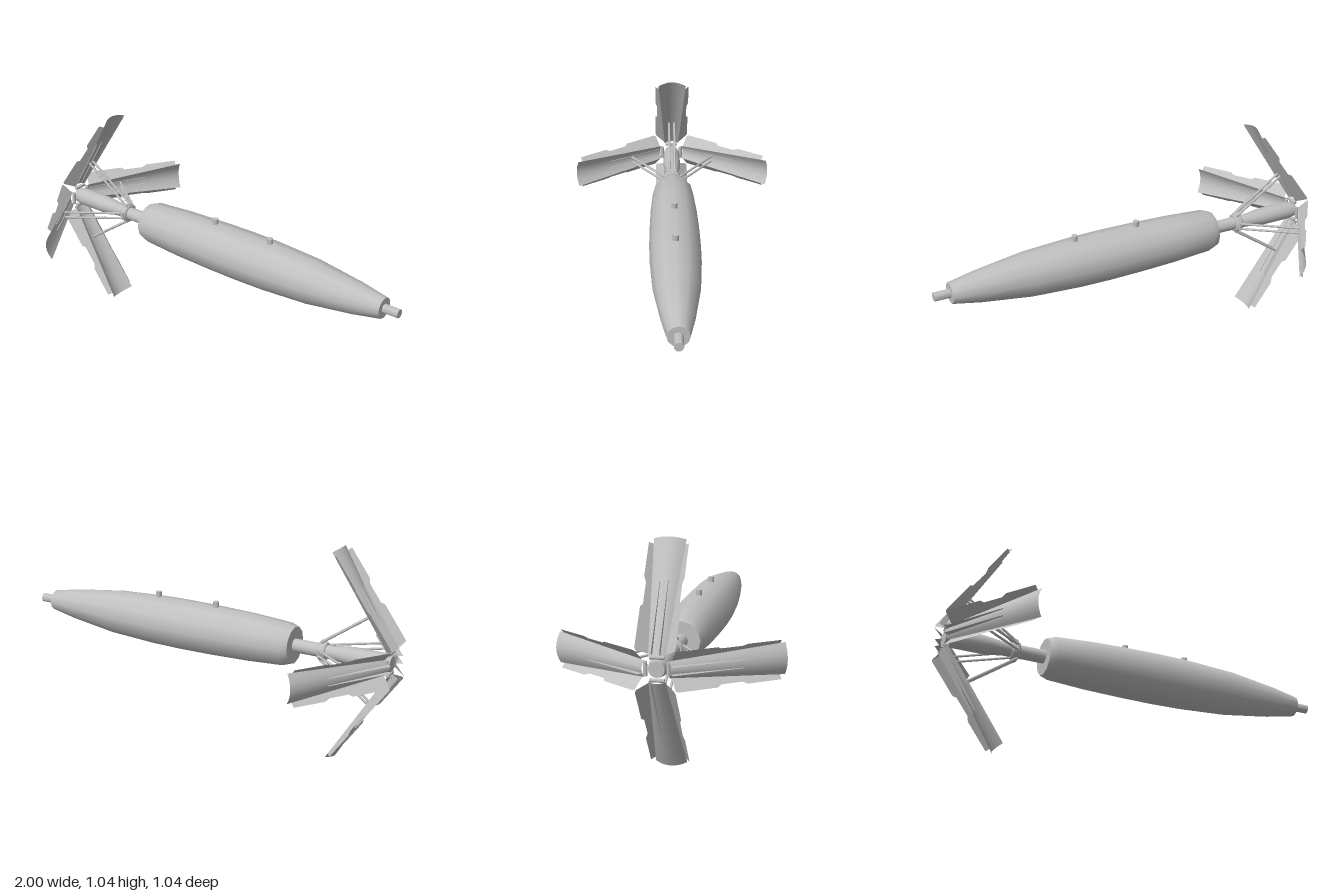
import * as THREE from 'three';
import { toCreasedNormals } from 'three/addons/utils/BufferGeometryUtils.js';

const AXIS_Y = 0.527;
const LENGTH = 0.53; // petal length

export function createModel() {
  const model = new THREE.Group();
  model.name = 'finnedCasing';
  const grey = new THREE.MeshStandardMaterial({ color: 0xc0c0c0, side: THREE.DoubleSide });
  grey.name = 'grey metal';

  const add = (parent, name, geometry) => {
    const mesh = new THREE.Mesh(geometry, grey);
    mesh.name = name;
    parent.add(mesh);
    return mesh;
  };

  // Solid of revolution about the long axis, from [x, radius] pairs
  const turned = (profile, sides) => {
    const points = profile.map(([x, r]) => new THREE.Vector2(r, x));
    const geometry = new THREE.LatheGeometry(points, sides);
    geometry.rotateZ(-Math.PI / 2);
    return toCreasedNormals(geometry, 0.6);
  };

  // Cylinder between two points
  const rod = (parent, name, a, b, radius, sides = 8) => {
    const span = b.clone().sub(a);
    const mesh = add(parent, name, new THREE.CylinderGeometry(radius, radius, span.length(), sides));
    mesh.position.copy(a).addScaledVector(span, 0.5);
    mesh.quaternion.setFromUnitVectors(new THREE.Vector3(0, 1, 0), span.normalize());
    return mesh;
  };

  // Open sheet spanning rows of points of equal length
  const sheet = (rows) => {
    const n = rows[0].length;
    const index = [];
    for (let i = 0; i < rows.length - 1; i++) {
      for (let j = 0; j < n - 1; j++) {
        const a = i * n + j;
        index.push(a, a + 1, a + n, a + 1, a + n + 1, a + n);
      }
    }
    const geometry = new THREE.BufferGeometry();
    geometry.setAttribute('position', new THREE.Float32BufferAttribute(rows.flat(2), 3));
    geometry.setIndex(index);
    geometry.computeVertexNormals();
    return geometry;
  };

  const axis = new THREE.Group();
  axis.name = 'longAxis';
  axis.position.y = AXIS_Y;
  model.add(axis);

  // Main casing, nose plug and tail
  add(axis, 'casing', turned([
    [-0.48, 0], [-0.48, 0.092], [-0.44, 0.106], [-0.25, 0.118], [-0.05, 0.124], [0.12, 0.126],
    [0.28, 0.124], [0.53, 0.111], [0.78, 0.078], [0.92, 0.052], [0.92, 0],
  ], 12));
  add(axis, 'nosePlug', turned([[0.91, 0], [0.91, 0.022], [1, 0.022], [1, 0]], 16));
  add(axis, 'tailTube', turned([
    [-0.47, 0], [-0.47, 0.033], [-0.68, 0.033], [-0.78, 0.045], [-0.93, 0.045], [-0.975, 0.036], [-0.975, 0],
  ], 16));
  add(axis, 'collar', turned([
    [-0.65, 0.03], [-0.65, 0.04], [-0.64, 0.046], [-0.615, 0.046], [-0.61, 0.04], [-0.61, 0.03],
  ], 12));

  // Suspension lugs
  for (const x of [-0.05, 0.28]) {
    const lug = add(axis, 'lug', new THREE.CylinderGeometry(0.015, 0.015, 0.035, 10));
    lug.position.set(x, 0.131, 0);
  }

  // Petal local frame: x runs to the tip, y out of the back, z sideways
  const halfWidth = (s) => 0.037 + 0.035 * s / LENGTH;
  const channelRows = [0, 0.13, 0.27, 0.4, LENGTH].map((s) => {
    const row = [];
    for (let j = 0; j <= 8; j++) {
      const u = j / 4 - 1;
      row.push([s, (0.014 + 0.012 * s / LENGTH) * (1 - u * u), u * halfWidth(s)]);
    }
    return row;
  });
  const channel = sheet(channelRows);

  // Notched side flange, as [distance along petal, outer half width]
  const flangeEdge = [[0.01, 0.083], [0.02, 0.088], [0.205, 0.088], [0.22, 0.079],
    [0.32, 0.079], [0.345, 0.088], [0.505, 0.088]];
  const flange = (side) => sheet(flangeEdge.map(([s, w]) => [
    [s, 0, side * halfWidth(s)],
    [s, w - halfWidth(s), side * w],
  ]));

  // Thin rib tapering along the back
  const rib = (z) => sheet([
    [[0, 0.008, z], [0, 0.038, z]],
    [[0.33, 0.015, z], [0.33, 0.026, z]],
  ]);

  // Four opened petals, each with flanges, ribs, hinge and a pair of struts
  for (let k = 0; k < 4; k++) {
    const arm = new THREE.Group();
    arm.name = 'petalAssembly';
    arm.rotation.x = k * Math.PI / 2;
    axis.add(arm);

    const petal = new THREE.Group();
    petal.name = 'petal';
    petal.position.set(-0.966, 0.055, 0);
    petal.rotation.z = 1.02;
    arm.add(petal);
    add(petal, 'petalChannel', channel);
    for (const side of [-1, 1]) {
      add(petal, 'petalFlange', flange(side));
      add(petal, 'petalRib', rib(side * 0.018));
      rod(arm, 'strut', new THREE.Vector3(-0.62, 0.042, side * 0.014),
        new THREE.Vector3(-0.872, 0.219, side * 0.014), 0.006);
    }
    rod(arm, 'hingePin', new THREE.Vector3(-0.965, 0.05, -0.032),
      new THREE.Vector3(-0.965, 0.05, 0.032), 0.009);
    rod(arm, 'strutPin', new THREE.Vector3(-0.625, 0.044, -0.02),
      new THREE.Vector3(-0.625, 0.044, 0.02), 0.009);
  }
  return model;
}
